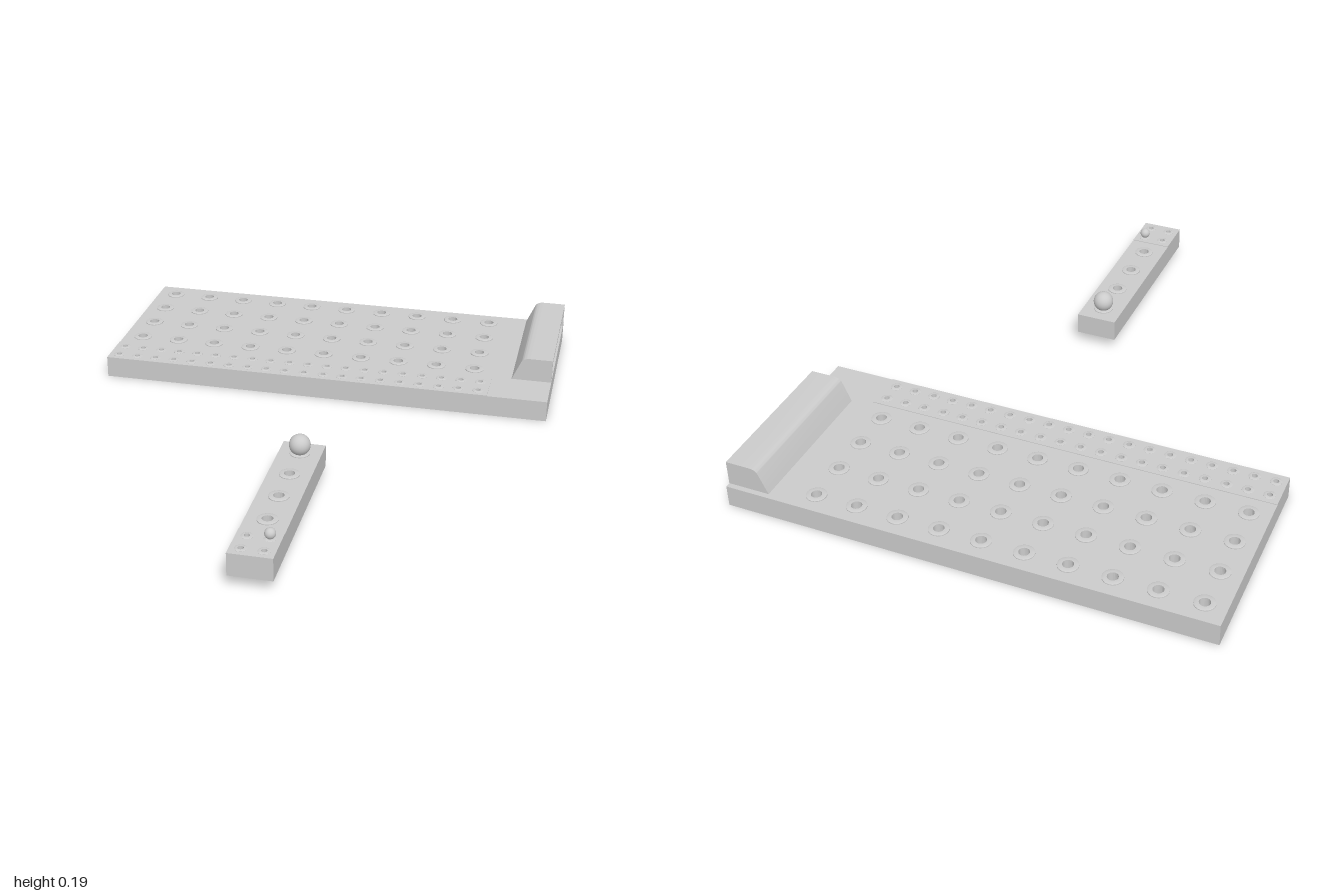
import * as THREE from 'three';
import { toCreasedNormals } from 'three/addons/utils/BufferGeometryUtils.js';

const P = 0.1434;          // pitch of the large sockets
const H = 0.076;           // tray height
const T = 0.012;           // wall thickness
const RIM = 0.0045;        // rim height above the deck
const BIG = { hole: 0.018, tube: 0.025, rim: 0.034 };
const SMALL = { hole: 0.0095, tube: 0.014, rim: 0.02 };

const material = new THREE.MeshStandardMaterial({ color: 0xcccccc });

function add(group, name, geometry, x = 0, y = 0, z = 0) {
  const mesh = new THREE.Mesh(geometry, material);
  mesh.name = name;
  mesh.position.set(x, y, z);
  group.add(mesh);
  return mesh;
}

// Horizontal slab with round holes
function slab(x0, x1, z0, z1, height, holes) {
  const s = rect(new THREE.Shape(), x0, x1, z0, z1);
  for (const h of holes) {
    s.holes.push(new THREE.Path().absarc(h.x, -h.z, h.size.hole, 0, Math.PI * 2, true));
  }
  return extrudeUp(s, height);
}

function rect(path, x0, x1, z0, z1) {
  path.moveTo(x0, -z1);
  path.lineTo(x1, -z1);
  path.lineTo(x1, -z0);
  path.lineTo(x0, -z0);
  path.closePath();
  return path;
}

function extrudeUp(shape, depth) {
  const g = new THREE.ExtrudeGeometry(shape, { depth, bevelEnabled: false, curveSegments: 10 });
  return g.rotateX(-Math.PI / 2);
}

// Hollow socket: a tube below the deck with a flat rim on top
function socketGeometry({ hole, tube, rim }) {
  const pts = [[hole, 0], [tube, 0], [tube, H - T / 2], [rim, H - T / 2],
    [rim, H + RIM * 0.6], [rim - 0.004, H + RIM], [hole, H + RIM], [hole, 0]];
  const g = new THREE.LatheGeometry(pts.map(p => new THREE.Vector2(...p)), 20);
  return toCreasedNormals(g, 0.6);
}
const bigSocket = socketGeometry(BIG);
const smallSocket = socketGeometry(SMALL);

// Open-bottomed tray with sockets and a thin strip under the small ones
function tray(name, x0, x1, z0, z1, sockets, strip) {
  const group = new THREE.Group();
  group.name = name;
  const walls = rect(new THREE.Shape(), x0, x1, z0, z1);
  walls.holes.push(rect(new THREE.Path(), x0 + T, x1 - T, z0 + T, z1 - T));
  add(group, 'sideWalls', extrudeUp(walls, H - T));
  add(group, 'deck', slab(x0, x1, z0, z1, T, sockets), 0, H - T);
  const small = sockets.filter(s => s.size === SMALL);
  add(group, 'smallSocketStrip', slab(...strip, RIM * 0.5, small), 0, H);
  for (const s of sockets) {
    const isBig = s.size === BIG;
    add(group, isBig ? 'largeSocket' : 'smallSocket', isBig ? bigSocket : smallSocket, s.x, 0, s.z);
  }
  return group;
}

// Ball-headed pin, its shaft filling a socket
function pin(name, r, shaft, x, y, z) {
  const group = new THREE.Group();
  group.name = name;
  add(group, 'ballHead', new THREE.SphereGeometry(r, 24, 16), 0, y);
  add(group, 'shaft', new THREE.CylinderGeometry(shaft, shaft, y - 0.004, 16), 0, (y + 0.004) / 2);
  group.position.set(x, 0, z);
  return group;
}

// Hood on the board's end, open towards +x
function hood() {
  const group = new THREE.Group();
  group.name = 'hood';
  const x0 = 0.68, x1 = 0.825, top = 0.162, zBack = -0.982, zFront = -0.447;
  const outline = (path, d) => {
    path.moveTo(x0 + d, H);
    path.lineTo(x0 + 0.031 + d, top - 0.016);
    path.quadraticCurveTo(x0 + 0.037 + d * 0.9, top - d, x0 + 0.065 + d, top - d);
    path.lineTo(x1, top - d);
    return path;
  };
  const extrude = (shape, depth) => toCreasedNormals(
    new THREE.ExtrudeGeometry(shape, { depth, bevelEnabled: false, curveSegments: 8 }), 0.5);
  // Bent roof between two solid cheeks
  const roof = outline(new THREE.Shape(), 0);
  const inner = outline(new THREE.Path(), T).getPoints(8).reverse();
  inner.forEach(p => roof.lineTo(p.x, p.y));
  add(group, 'hoodRoof', extrude(roof, zFront - zBack), 0, 0, zBack);
  const cheek = outline(new THREE.Shape(), 0);
  cheek.lineTo(x1, H);
  for (const z of [zBack, zFront - T]) add(group, 'hoodCheek', extrude(cheek, T), 0, 0, z);
  return group;
}

export function createModel() {
  const model = new THREE.Group();
  model.name = 'pegBoardSet';

  // Main board: large grid, one hidden column in the hood, two small rows
  const X = 0.825, back = -1, front = -0.284;
  const sockets = [];
  for (let row = 0; row < 4; row++) {
    const z = back + P * (row + 0.5);
    for (let col = 0; col < 10; col++) sockets.push({ x: -X + P * (col + 0.5), z, size: BIG });
    sockets.push({ x: X - P / 2, z, size: BIG });
  }
  for (let row = 0; row < 2; row++) {
    for (let col = 0; col < 20; col++) {
      sockets.push({ x: -X + P / 2 * (col + 0.5), z: front - P / 2 * (row + 0.5), size: SMALL });
    }
  }
  const board = tray('mainBoard', -X, X, back, front, sockets, [-X, -X + P * 10, front - P, front]);
  board.add(hood());
  model.add(board);

  // Loose bar: four large sockets and a cell of four small ones
  const z0 = 0.284, barSockets = [];
  for (let i = 0; i < 4; i++) barSockets.push({ x: P / 2, z: z0 + P * (i + 0.5), size: BIG });
  for (const i of [0.25, 0.75]) {
    for (const j of [4.25, 4.75]) barSockets.push({ x: P * i, z: z0 + P * j, size: SMALL });
  }
  const bar = tray('looseBar', 0, P, z0, 1, barSockets, [0, P, z0 + P * 4, 1]);
  bar.add(pin('largePin', 0.036, BIG.hole, P / 2, 0.109, z0 + P / 2));
  bar.add(pin('smallPin', 0.018, SMALL.hole, P * 0.75, 0.097, z0 + P * 4.25));
  bar.position.y = 0.041;
  model.add(bar);

  return model;
}
